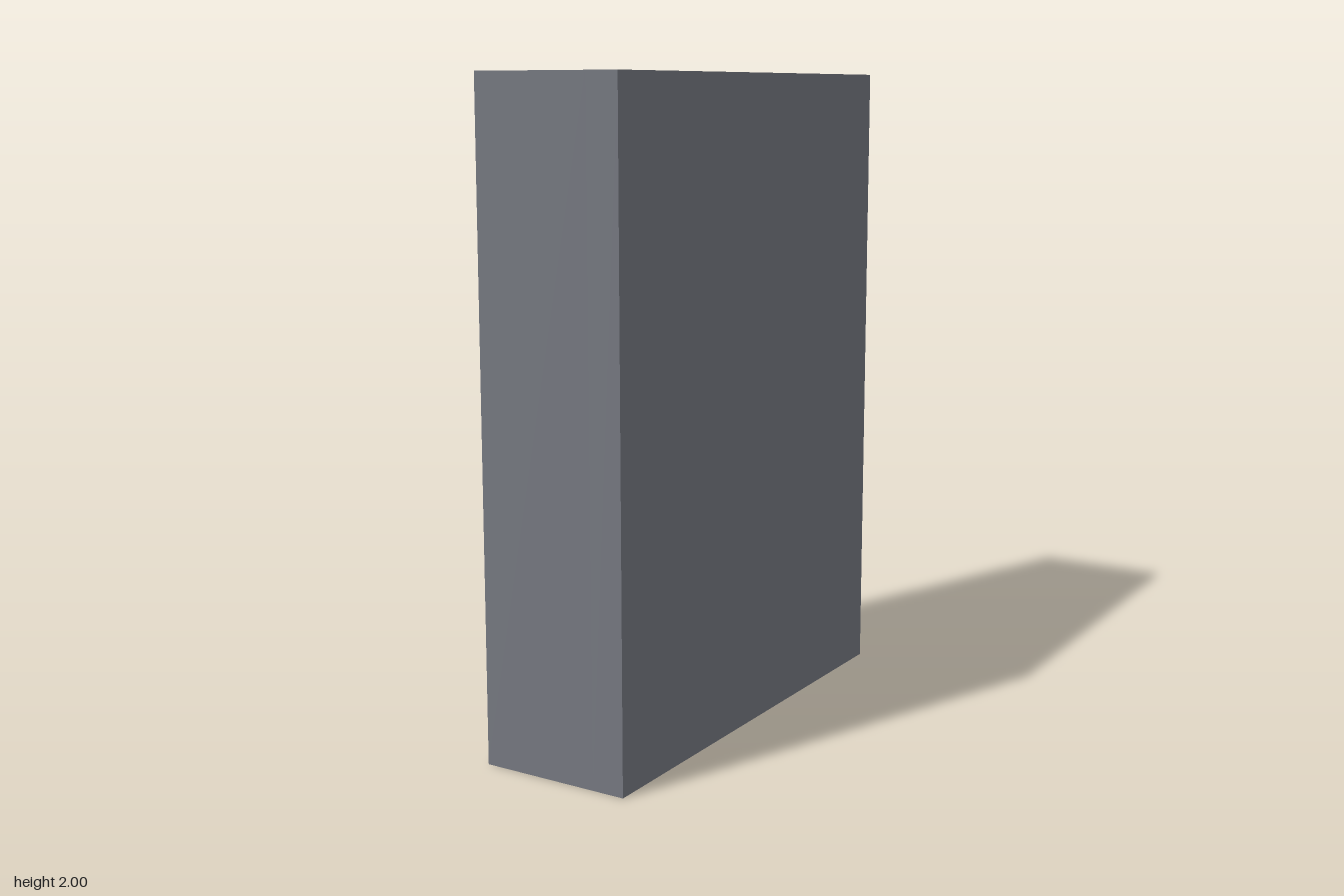
import * as THREE from 'three';

const mat = (name, color, extra = {}) => {
  const m = new THREE.MeshStandardMaterial({ color, flatShading: true, ...extra });
  m.name = name;
  return m;
};

export function createModel() {
  const metal = mat('shelf grey', 0x74777f);
  const amber = mat('amber plastic', 0xb0520f);
  const white = mat('white label', 0xdcdcda, { side: THREE.DoubleSide });
  const capWhite = mat('pale cap', 0xd0d4d6);
  const capGrey = mat('grey cap', 0x74777f);
  const card = mat('cardboard', 0xb07c56);

  const W = 0.475, H = 2, D = 1.486;   // x, y, z size of the cabinet
  const cavity = 0.372;                // depth of the open cells, facing -x
  const floors = [0.107, 0.572, 1.02, 1.465];
  const ceilings = [0.54, 0.983, 1.433, 1.9];

  const root = new THREE.Group();
  root.name = 'storageShelf';
  const add = (parent, name, geo, m, x = 0, y = 0, z = 0) => {
    const mesh = new THREE.Mesh(geo, m);
    mesh.name = name;
    mesh.position.set(x, y, z);
    parent.add(mesh);
    return mesh;
  };
  // Groups on a shelf are placed by depth from the open face and distance along it
  const place = (name, level, depth, along) => {
    const g = new THREE.Group();
    g.name = name;
    g.position.set(depth - W / 2, floors[level], along - D / 2);
    root.add(g);
    return g;
  };

  // Frame with two columns of four cells, and a solid back
  const rect = (path, x0, y0, x1, y1) =>
    path.moveTo(x0, y0).lineTo(x1, y0).lineTo(x1, y1).lineTo(x0, y1).closePath();
  const outline = new THREE.Shape();
  rect(outline, -D / 2, 0, D / 2, H);
  for (const [z0, z1] of [[-0.67, -0.028], [0.028, 0.67]]) {
    floors.forEach((y0, i) => {
      const hole = new THREE.Path();
      rect(hole, z0, y0, z1, ceilings[i]);
      outline.holes.push(hole);
    });
  }
  const frame = new THREE.ExtrudeGeometry(outline, { depth: cavity, bevelEnabled: false });
  frame.rotateY(Math.PI / 2);
  add(root, 'shelfFrame', frame, metal, -W / 2);
  const backT = W - cavity;
  add(root, 'backPanel', new THREE.BoxGeometry(backT, H, D), metal, W / 2 - backT / 2, H / 2, 0);

  // Labelled bottle: eight-sided body, half-wrap label towards the open face, cap
  const profile = [[0, 0], [0.07, 0], [0.076, 0.012], [0.076, 0.155], [0.082, 0.163],
    [0.082, 0.175], [0.05, 0.198], [0.042, 0.198], [0.042, 0.21], [0, 0.21]]
    .map(([r, y]) => new THREE.Vector2(r, y));
  const bodyGeo = new THREE.LatheGeometry(profile, 8);
  const labelGeo = new THREE.CylinderGeometry(0.079, 0.079, 0.135, 4, 1, true, Math.PI, Math.PI);
  const capGeo = new THREE.CylinderGeometry(0.053, 0.053, 0.037, 8);
  const bottle = (level, depth, along, scale, capMat) => {
    const g = place('bottle', level, depth, along);
    add(g, 'bottleBody', bodyGeo, amber);
    add(g, 'bottleLabel', labelGeo, white, 0, 0.084, 0);
    add(g, 'bottleCap', capGeo, capMat, 0, 0.2165, 0);
    g.scale.setScalar(scale);
  };
  for (const [l, d, a] of [[3, 0.125, 0.388], [3, 0.217, 0.597], [1, 0.155, 0.533], [1, 0.27, 0.365]])
    bottle(l, d, a, 1, capWhite);
  for (const [l, d, a] of [[3, 0.201, 1.316], [3, 0.126, 1.048], [3, 0.229, 1.165]])
    bottle(l, d, a, 0.6, capGrey);

  // Small jars with wide lids
  const jarGeo = new THREE.CylinderGeometry(0.038, 0.038, 0.065, 8);
  const lidGeo = new THREE.CylinderGeometry(0.044, 0.044, 0.018, 8);
  for (const [l, d, a] of [[2, 0.113, 1.345], [2, 0.248, 1.236], [2, 0.146, 1.081],
    [2, 0.079, 0.92], [1, 0.092, 0.332]]) {
    const g = place('jar', l, d, a);
    add(g, 'jarBody', jarGeo, amber, 0, 0.0325, 0);
    add(g, 'jarLid', lidGeo, capWhite, 0, 0.073, 0);
  }

  // Cardboard boxes: level, depth, along, size x/y/z, turn
  for (const [l, d, a, sx, sy, sz, turn] of [
    [1, 0.153, 1.233, 0.195, 0.165, 0.2, -0.2],
    [0, 0.18, 1.262, 0.185, 0.19, 0.2, 0.19],
    [0, 0.156, 0.976, 0.2, 0.157, 0.2, -0.23],
    [0, 0.108, 0.253, 0.12, 0.32, 0.23, -0.28],
  ]) {
    const g = place('cardboardBox', l, d, a);
    g.rotation.y = turn;
    add(g, 'boxBody', new THREE.BoxGeometry(sx, sy, sz), card, 0, sy / 2, 0);
  }
  return root;
}
